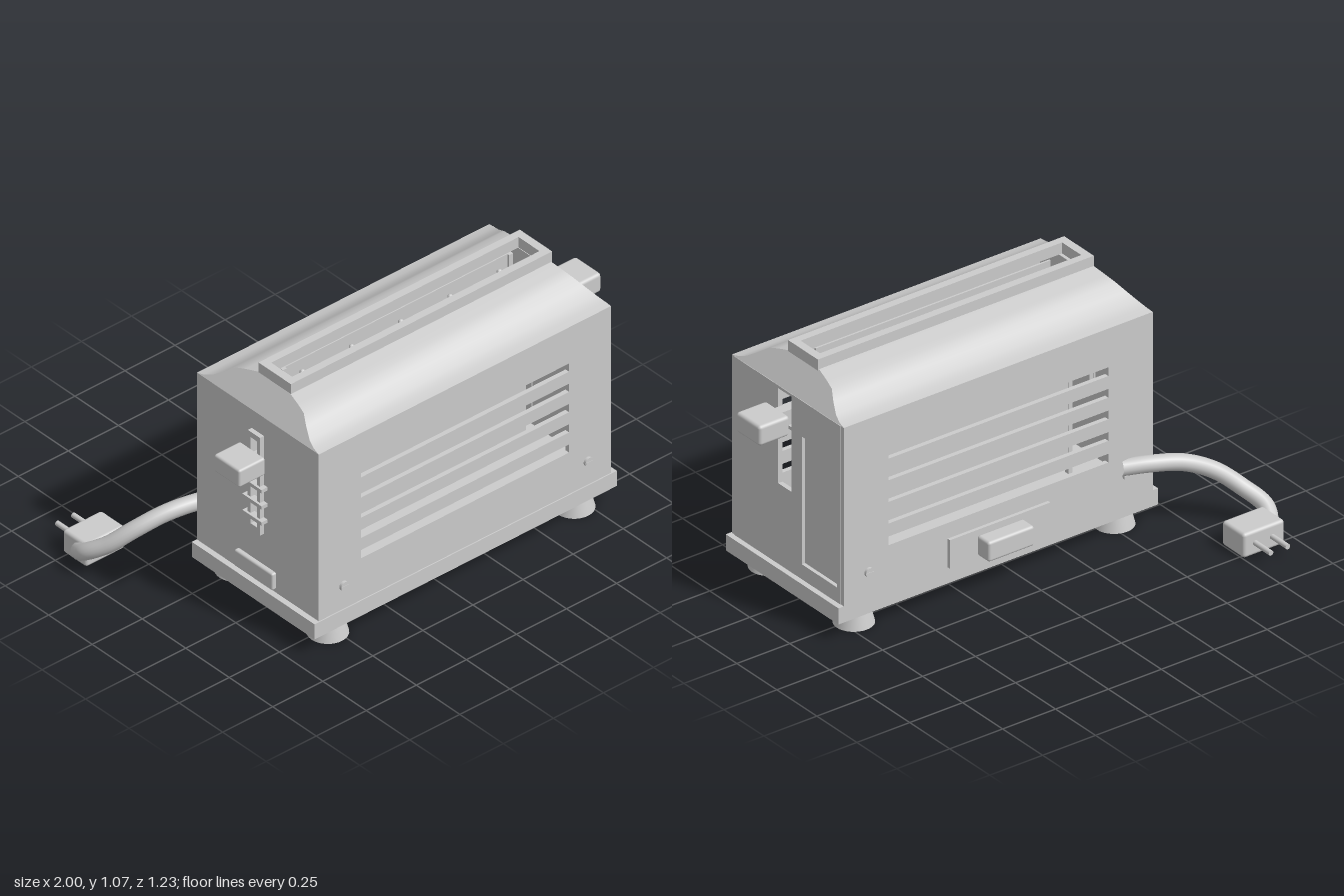
import * as THREE from 'three';
import { RoundedBoxGeometry } from 'three/addons/geometries/RoundedBoxGeometry.js';

const CX = 0.09, CZ = 0.25; // centre of the toaster body
const mat = new THREE.MeshStandardMaterial({ color: 0xcccccc });
const thin = new THREE.MeshStandardMaterial({ color: 0xcccccc, side: THREE.DoubleSide });

export function createModel() {
  const root = new THREE.Group();

  const add = (name, geo, x = 0, y = 0, z = 0, material = mat) => {
    const mesh = new THREE.Mesh(geo, material);
    mesh.name = name;
    mesh.position.set(x, y, z);
    root.add(mesh);
    return mesh;
  };
  // box given by its extents, optionally with rounded edges
  const box = (name, [x0, x1], [y0, y1], [z0, z1], r = 0) => {
    const s = [x1 - x0, y1 - y0, z1 - z0];
    const geo = r ? new RoundedBoxGeometry(...s, 3, r) : new THREE.BoxGeometry(...s);
    return add(name, geo, (x0 + x1) / 2, (y0 + y1) / 2, (z0 + z1) / 2);
  };
  const rect = (Type, [u0, u1], [v0, v1]) => new Type([
    new THREE.Vector2(u0, v0), new THREE.Vector2(u1, v0),
    new THREE.Vector2(u1, v1), new THREE.Vector2(u0, v1)]);
  // flat panel with rectangular cut-outs
  const panel = (u, v, holes, depth) => {
    const shape = rect(THREE.Shape, u, v);
    shape.holes = holes.map(([hu, hv]) => rect(THREE.Path, hu, hv));
    return new THREE.ExtrudeGeometry(shape, { depth, bevelEnabled: false });
  };

  // base plate and feet
  box('base', [-0.665, 0.845], [0.075, 0.145], [-0.1, 0.605]);
  for (const x of [-0.525, 0.705]) for (const z of [-0.01, 0.52])
    add('foot', new THREE.CylinderGeometry(0.062, 0.081, 0.076, 32), x, 0.038, z);
  add('bottomPeg', new THREE.CylinderGeometry(0.022, 0.022, 0.045, 20), CX, 0.0225, 0.256);

  // front and back walls with five louvre slots
  const slots = [0, 1, 2, 3, 4].map(i => [[-0.43, 0.61], [0.338 + i * 0.094, 0.376 + i * 0.094]]);
  for (const [name, z] of [['frontWall', 0.58], ['backWall', -0.1]])
    add(name, panel([-0.64, 0.82], [0.145, 0.92], slots, 0.02), 0, 0, z);

  // end walls (drawn in -z, y and turned to face x)
  const endWall = (name, holes, x) =>
    add(name, panel([-0.58, 0.08], [0.145, 0.92], holes, 0.02).rotateY(Math.PI / 2), x);
  endWall('rightHandWall', [[[-0.308, -0.225], [0.495, 0.908]], [[-0.16, 0.06], [0.21, 0.765]]], 0.802);
  endWall('leftHandWall', [[[-0.27, -0.23], [0.42, 0.8]]], -0.64);
  box('recessedPanel', [0.796, 0.806], [0.2, 0.775], [-0.07, 0.17]);

  // curved roof: rectangular rings, each side smoothed on its own
  const profile = [[0.35, 0.92], [0.315, 0.927], [0.28, 0.941], [0.235, 0.97],
    [0.195, 1.0], [0.15, 1.013], [0.08, 1.03]];
  const rings = profile.map(([d, y]) => {
    const w = 0.73 - (y - 0.92) * 0.75;
    return [[-w, y, d], [w, y, d], [w, y, -d], [-w, y, -d]];
  });
  for (let s = 0; s < 4; s++) {
    const pos = [], idx = [];
    rings.forEach((ring, i) => {
      pos.push(...ring[s], ...ring[(s + 1) % 4]);
      const a = 2 * i;
      if (i < rings.length - 1) idx.push(a, a + 1, a + 3, a, a + 3, a + 2);
    });
    const geo = new THREE.BufferGeometry();
    geo.setAttribute('position', new THREE.Float32BufferAttribute(pos, 3));
    geo.setIndex(idx);
    geo.computeVertexNormals();
    add('roofSide', geo, CX, 0, CZ, thin);
  }

  // rim around the bread opening (drawn in x, -z and laid flat)
  add('openingRim', panel([-0.56, 0.745], [-0.348, -0.162],
    [[[-0.525, 0.71], [-0.315, -0.195]]], 0.048).rotateX(-Math.PI / 2), 0, 1.024, 0);

  // heating plates, carriage and guide wires inside
  for (const z of [0.196, 0.304])
    box('heatingPlate', [-0.46, 0.65], [0.2, 1.024], [z - 0.004, z + 0.004]);
  for (const x of [-0.47, 0.66])
    box('platePost', [x - 0.01, x + 0.01], [0.145, 1.024], [0.19, 0.21]);
  box('breadCarriage', [-0.5, 0.8], [0.74, 0.755], [0.225, 0.285]);
  for (let i = 0; i < 5; i++) {
    const x = -0.4 + i * 0.246;
    const wire = add('guideWire', new THREE.CylinderGeometry(0.008, 0.008, 0.07, 10), x, 0.99, 0.265);
    wire.rotation.x = Math.PI / 2;
    add('guideWireHead', new THREE.SphereGeometry(0.011, 12, 8), x, 0.99, 0.23);
  }

  // lowering lever
  box('leverStem', [0.75, 0.87], [0.775, 0.84], [0.245, 0.29]);
  box('leverHandle', [0.853, 0.997], [0.763, 0.85], [0.193, 0.343], 0.014);

  // browning control: slotted track, notches and slider
  add('browningTrack', panel([-0.285, -0.215], [0.38, 0.835],
    [[[-0.268, -0.232], [0.41, 0.81]]], 0.02).rotateY(Math.PI / 2), -0.66);
  for (const y of [0.45, 0.525, 0.6])
    box('trackNotch', [-0.67, -0.64], [y - 0.008, y + 0.008], [0.195, 0.305]);
  box('browningStem', [-0.69, -0.6], [0.69, 0.74], [0.235, 0.265]);
  box('browningSlider', [-0.787, -0.655], [0.675, 0.755], [0.165, 0.312], 0.01);
  box('lowerEndPlate', [-0.664, -0.64], [0.165, 0.242], [0.14, 0.36], 0.008);

  // crumb tray at the back
  box('crumbTrayPlate', [-0.145, 0.33], [0.146, 0.27], [-0.115, -0.1]);
  box('crumbTrayHandle', [-0.018, 0.2], [0.158, 0.245], [-0.186, -0.11], 0.012);

  // slotted screws on both long walls
  for (const x of [-0.517, 0.703]) for (const [z, out] of [[0.6, 1], [-0.1, -1]]) {
    const screw = add('screwHead', new THREE.CylinderGeometry(0.02, 0.02, 0.012, 20), x, 0.255, z + out * 0.005);
    screw.rotation.x = Math.PI / 2;
    const fz = z + out * 0.011;
    box('screwSlot', [x - 0.017, x + 0.017], [0.252, 0.258], [fz - 0.002, fz + 0.002]);
  }

  // power cord, plug and prongs
  const path = new THREE.CatmullRomCurve3([
    [-0.5, 0.288, -0.09], [-0.6, 0.288, -0.13], [-0.73, 0.27, -0.175], [-0.84, 0.22, -0.225],
    [-0.92, 0.15, -0.29], [-0.965, 0.095, -0.37], [-0.945, 0.06, -0.425], [-0.9, 0.053, -0.44],
  ].map(p => new THREE.Vector3(...p)));
  add('powerCord', new THREE.TubeGeometry(path, 60, 0.034, 16));
  box('plug', [-0.945, -0.75], [0, 0.106], [-0.523, -0.385], 0.014);
  for (const x of [-0.885, -0.805])
    add('plugProng', new THREE.CylinderGeometry(0.011, 0.011, 0.11, 14), x, 0.053, -0.566).rotation.x = Math.PI / 2;

  return root;
}
